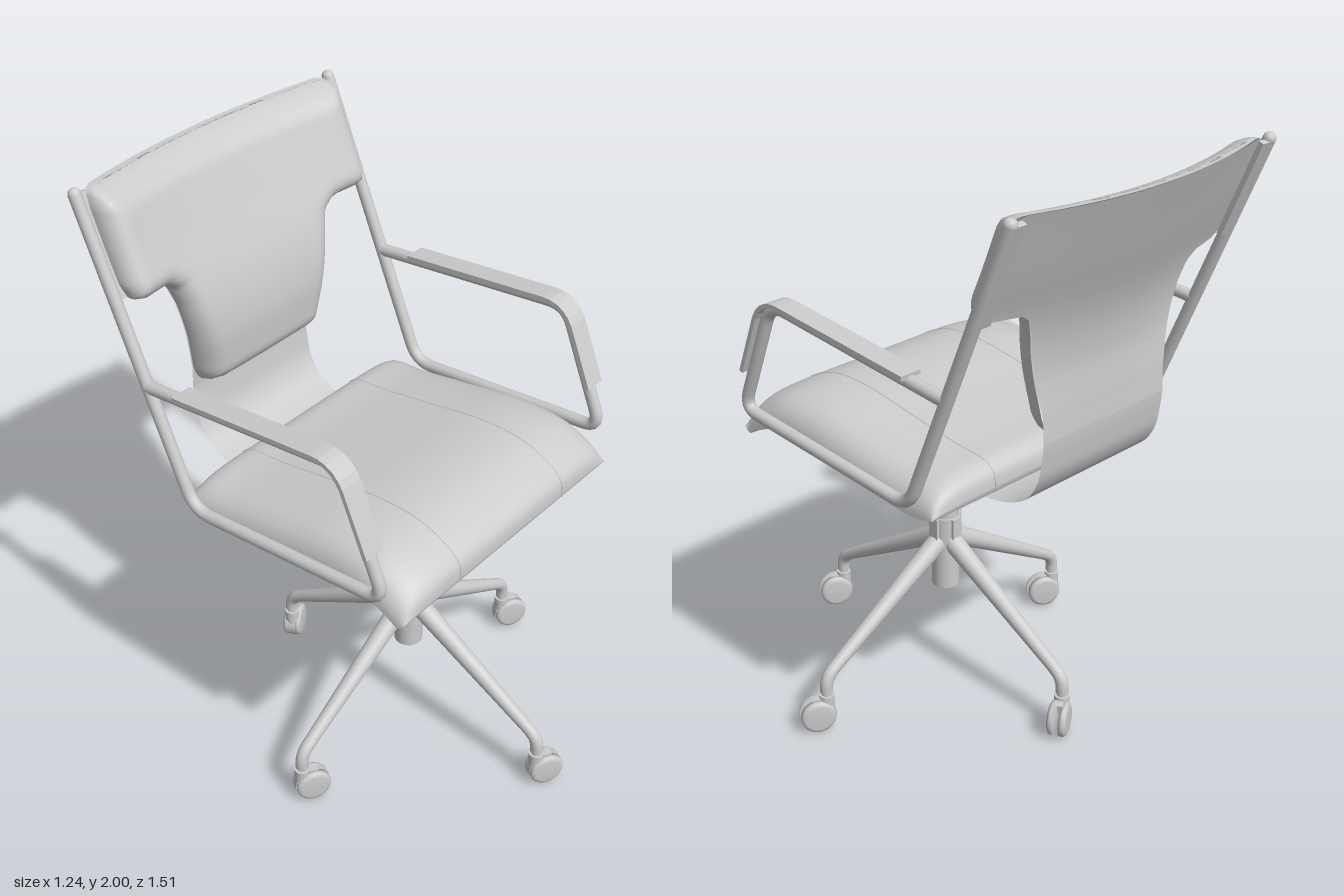
import * as THREE from 'three';

const V = (x, y, z) => new THREE.Vector3(x, y, z);
const grey = new THREE.MeshStandardMaterial({ color: 0xcccccc });
const greySheet = new THREE.MeshStandardMaterial({ color: 0xcccccc, side: THREE.DoubleSide });

function add(parent, name, geometry, material = grey) {
  const mesh = new THREE.Mesh(geometry, material);
  mesh.name = name;
  parent.add(mesh);
  return mesh;
}

// Surface through a grid of points; ring = true joins the last column to the first
function surface(n, m, point, ring = false) {
  const pos = [], idx = [], cols = ring ? m : m - 1;
  for (let i = 0; i < n; i++) for (let j = 0; j < m; j++) pos.push(...point(i, j));
  for (let i = 0; i < n - 1; i++) for (let j = 0; j < cols; j++) {
    const k = (j + 1) % m, a = i * m + j, b = a + m, c = i * m + k, d = c + m;
    idx.push(a, b, c, b, d, c);
  }
  const g = new THREE.BufferGeometry();
  g.setAttribute('position', new THREE.Float32BufferAttribute(pos, 3));
  g.setIndex(idx);
  g.computeVertexNormals();
  return g;
}

// Straight round bar from a to b
function rod(a, b, ra, rb = ra, sides = 20) {
  const dir = b.clone().sub(a);
  const g = new THREE.CylinderGeometry(rb, ra, dir.length(), sides);
  g.applyQuaternion(new THREE.Quaternion().setFromUnitVectors(V(0, 1, 0), dir.clone().normalize()));
  const mid = a.clone().add(b).multiplyScalar(0.5);
  return g.translate(mid.x, mid.y, mid.z);
}

// Polyline with rounded corners
function rounded(pts, r) {
  const path = new THREE.CurvePath();
  let from = pts[0];
  for (let i = 1; i < pts.length - 1; i++) {
    const p = pts[i];
    const a = p.clone().add(pts[i - 1].clone().sub(p).setLength(r));
    const b = p.clone().add(pts[i + 1].clone().sub(p).setLength(r));
    path.add(new THREE.LineCurve3(from, a));
    path.add(new THREE.QuadraticBezierCurve3(a, p, b));
    from = b;
  }
  path.add(new THREE.LineCurve3(from, pts[pts.length - 1]));
  return path;
}

const spline = (pts) => new THREE.SplineCurve(pts.map((p) => new THREE.Vector2(...p)));

function buildSeat(chair) {
  // Matching top and underside profiles as (z, y), front to back
  const top = spline([[0.54, 1.0], [0.53, 1.06], [0.47, 1.11], [0.36, 1.148], [0.2, 1.15],
    [0, 1.12], [-0.2, 1.09], [-0.31, 1.08], [-0.355, 1.05], [-0.365, 1.0]]);
  const under = spline([[0.53, 0.985], [0.505, 0.97], [0.45, 1.0], [0.36, 1.03], [0.2, 1.025],
    [0, 1.0], [-0.2, 0.97], [-0.3, 0.97], [-0.34, 0.98], [-0.36, 0.985]]);
  const N = 48, n = 45;
  const g = surface(n, 2 * N, (i, j) => {
    const u = Math.sin((i / (n - 1) - 0.5) * Math.PI);
    const t = (j < N ? j : 2 * N - 1 - j) / (N - 1);
    const a = top.getPoint(t), b = under.getPoint(t);
    const f = j < N ? Math.sqrt(Math.max(0, 1 - Math.abs(u) ** 8)) : 0;
    return [0.525 * u, b.y + (a.y - b.y) * f, b.x + (a.x - b.x) * f];
  }, true);
  add(chair, 'seatCushion', g);
  for (const s of [-1, 1]) {
    const line = top.getPoints(30).map((p) => V(s * 0.263, p.y - 0.001, p.x));
    add(chair, 'seatSeam', new THREE.TubeGeometry(new THREE.CatmullRomCurve3(line), 60, 0.003, 6));
  }
}

function buildBack(chair) {
  // Half outline of the T-shaped back, bottom to top
  const outline = new THREE.Path([[0, 1.235], [0.2, 1.237], [0.25, 1.25], [0.27, 1.29], [0.3, 1.45],
    [0.325, 1.57], [0.345, 1.63], [0.38, 1.655], [0.48, 1.662], [0.515, 1.675], [0.53, 1.72],
    [0.53, 1.94], [0.52, 1.98], [0.49, 1.987], [0, 1.988]].map((p) => new THREE.Vector2(...p)));
  const edge = outline.getSpacedPoints(480);
  const rows = edge.filter((p, i) => i % 4 === 0);
  // Lean of the centre line (y, z) and sideways wrap
  const lean = spline([[1.2, -0.563], [1.3, -0.56], [1.45, -0.557], [1.6, -0.588], [1.8, -0.67], [2.0, -0.755]]);
  const leanPts = lean.getPoints(200);
  const shellZ = (x, y) => {
    const k = Math.max(1, leanPts.findIndex((p) => p.x >= y)), a = leanPts[k - 1], b = leanPts[k];
    const wrap = 0.07 * THREE.MathUtils.smoothstep(y, 1.2, 1.7);
    return a.y + (b.y - a.y) * (y - a.x) / (b.x - a.x) + wrap * (x / 0.53) ** 2;
  };
  const lift = (x, y) => y + 0.012 * (x / 0.53) ** 2 * THREE.MathUtils.smoothstep(y, 1.8, 1.98);

  // Cushion swells away from its outline
  const M = 57, T = 0.092, R = 0.075;
  add(chair, 'backCushion', surface(rows.length, M, (i, j) => {
    const p = rows[i], x = -p.x * Math.sin((j / (M - 1) - 0.5) * Math.PI);
    let d = R;
    for (const e of edge) d = Math.min(d, Math.hypot(e.x - Math.abs(x), e.y - p.y));
    const t = T * Math.sqrt(Math.max(0, 1 - (1 - d / R) ** 2));
    return [x, lift(x, p.y), shellZ(x, p.y) + 0.006 + t];
  }), greySheet);

  // Thin shell, sweeping down and forward under the seat
  const strap = spline([[-0.02, 0.98], [-0.14, 0.962], [-0.26, 0.955], [-0.39, 0.967], [-0.49, 1.01],
    [-0.54, 1.08], [-0.557, 1.16], [-0.563, 1.22]]).getPoints(40).map((p) => [0.272, p.y, p.x]);
  const upper = rows.filter((p) => p.y > 1.27).map((p) => [Math.max(0.272, p.x), p.y, null])
    .filter((r, i, all) => r[1] < 1.987 || i === all.length - 1);
  upper[upper.length - 1][0] = 0.5;
  const sheet = [...strap, ...upper];
  add(chair, 'backShell', surface(sheet.length, 33, (i, j) => {
    const [w, y, z] = sheet[i], x = w * (1 - j / 16);
    return [x, lift(x, y), z === null ? shellZ(x, y) : z];
  }), greySheet);

  // Strips fixing the shell to the side tubes
  for (const s of [-1, 1]) {
    const strip = add(chair, 'backFixingStrip', new THREE.BoxGeometry(0.04, 0.34, 0.018));
    strip.position.set(s * 0.525, 1.825, -0.627);
    strip.rotation.x = -0.385;
  }
}

function buildArm(chair, s) {
  const x = s * 0.553;
  const pts = [[1.985, -0.685], [1.02, -0.29], [1.08, 0.485], [1.488, 0.318], [1.415, -0.45]].map(([y, z]) => V(x, y, z));
  add(chair, 'armFrame', new THREE.TubeGeometry(rounded(pts, 0.07), 220, 0.021, 14));
  add(chair, 'frameTopCap', new THREE.SphereGeometry(0.021, 14, 10)).position.copy(pts[0]);

  // Flat pad bent over the top and front of the arm
  const path = rounded([V(x, 1.43, -0.305), pts[3], V(x, 1.225, 0.426)], 0.07);
  const offset = (o) => path.getSpacedPoints(40).map((p, i) => {
    const t = path.getTangentAt(i / 40);
    return new THREE.Vector2(p.z - t.y * o, p.y + t.z * o);
  });
  const shape = new THREE.Shape([...offset(0.027), ...offset(0.012).reverse()]);
  const pad = new THREE.ExtrudeGeometry(shape, { depth: 0.076, bevelEnabled: false });
  pad.translate(0, 0, -0.038).rotateY(-Math.PI / 2).translate(x, 0, 0);
  add(chair, 'armPad', pad);
}

function buildCaster(base, x, z, turn) {
  const caster = new THREE.Group();
  caster.name = 'caster';
  caster.position.set(x, 0, z);
  caster.rotation.y = turn;
  base.add(caster);
  for (const s of [-1, 1]) {
    // Rounded wheel with its axle along z
    const rim = [[0, 0], [0.045, 0], [0.056, 0.005], [0.06, 0.012], [0.06, 0.026], [0, 0.026]];
    const wheel = add(caster, 'casterWheel',
      new THREE.LatheGeometry(rim.map((p) => new THREE.Vector2(...p)).reverse(), 28), greySheet);
    wheel.rotation.x = -s * Math.PI / 2;
    wheel.position.set(0.033, 0.062, s * 0.034);
  }
  // Hood between the wheels and pivot socket
  const hood = new THREE.CylinderGeometry(0.062, 0.062, 0.03, 24, 1, false, Math.PI * 0.9, Math.PI * 1.1);
  add(caster, 'casterHood', hood.rotateX(Math.PI / 2).translate(0.033, 0.064, 0), greySheet);
  add(caster, 'casterSocket', rod(V(0, 0.075, 0), V(0, 0.135, 0), 0.026));
  add(caster, 'casterStem', rod(V(0, 0.12, 0), V(0, 0.18, 0), 0.017));
}

function buildBase(chair) {
  const base = new THREE.Group();
  base.name = 'base';
  base.position.z = 0.13;
  chair.add(base);
  const up = (name, y0, y1, r0, r1 = r0) => add(base, name, rod(V(0, y0, 0), V(0, y1, 0), r0, r1, 32));
  up('lowerColumn', 0.335, 0.56, 0.048);
  up('hub', 0.47, 0.61, 0.054);
  up('columnSleeve', 0.6, 0.77, 0.048);
  up('gasLift', 0.76, 0.95, 0.033);
  const bowl = [[0, 0.93], [0.06, 0.93], [0.085, 0.945], [0.11, 0.975], [0.145, 1.0], [0.15, 1.015], [0, 1.02]];
  add(base, 'seatMount', new THREE.LatheGeometry(bowl.map((p) => new THREE.Vector2(...p)), 40), greySheet);
  add(base, 'heightLever', rod(V(-0.1, 0.965, 0.06), V(-0.385, 0.932, 0.25), 0.008, 0.009, 10));

  // Four arms in a cross, each ending in a caster
  for (let i = 0; i < 4; i++) {
    const a = i * Math.PI / 2;
    const arm = new THREE.Group();
    arm.name = 'baseArm';
    arm.rotation.y = a;
    base.add(arm);
    add(arm, 'hubLug', new THREE.BoxGeometry(0.03, 0.11, 0.04)).position.set(0.045, 0.555, 0);
    add(arm, 'leg', rod(V(0.03, 0.515, 0), V(0.5, 0.236, 0), 0.036, 0.022));
    const foot = rounded([V(0.49, 0.242, 0), V(0.558, 0.2, 0), V(0.558, 0.145, 0)], 0.04);
    add(arm, 'foot', new THREE.TubeGeometry(foot, 24, 0.022, 16), greySheet);
    buildCaster(base, 0.558 * Math.cos(a), -0.558 * Math.sin(a), i === 1 ? 0.5 : -0.5);
  }
}

export function createModel() {
  const model = new THREE.Group();
  model.name = 'officeChair';
  const chair = new THREE.Group();
  chair.name = 'chair';
  chair.position.x = -0.035;
  model.add(chair);
  buildSeat(chair);
  buildBack(chair);
  for (const s of [-1, 1]) buildArm(chair, s);
  buildBase(chair);
  return model;
}
